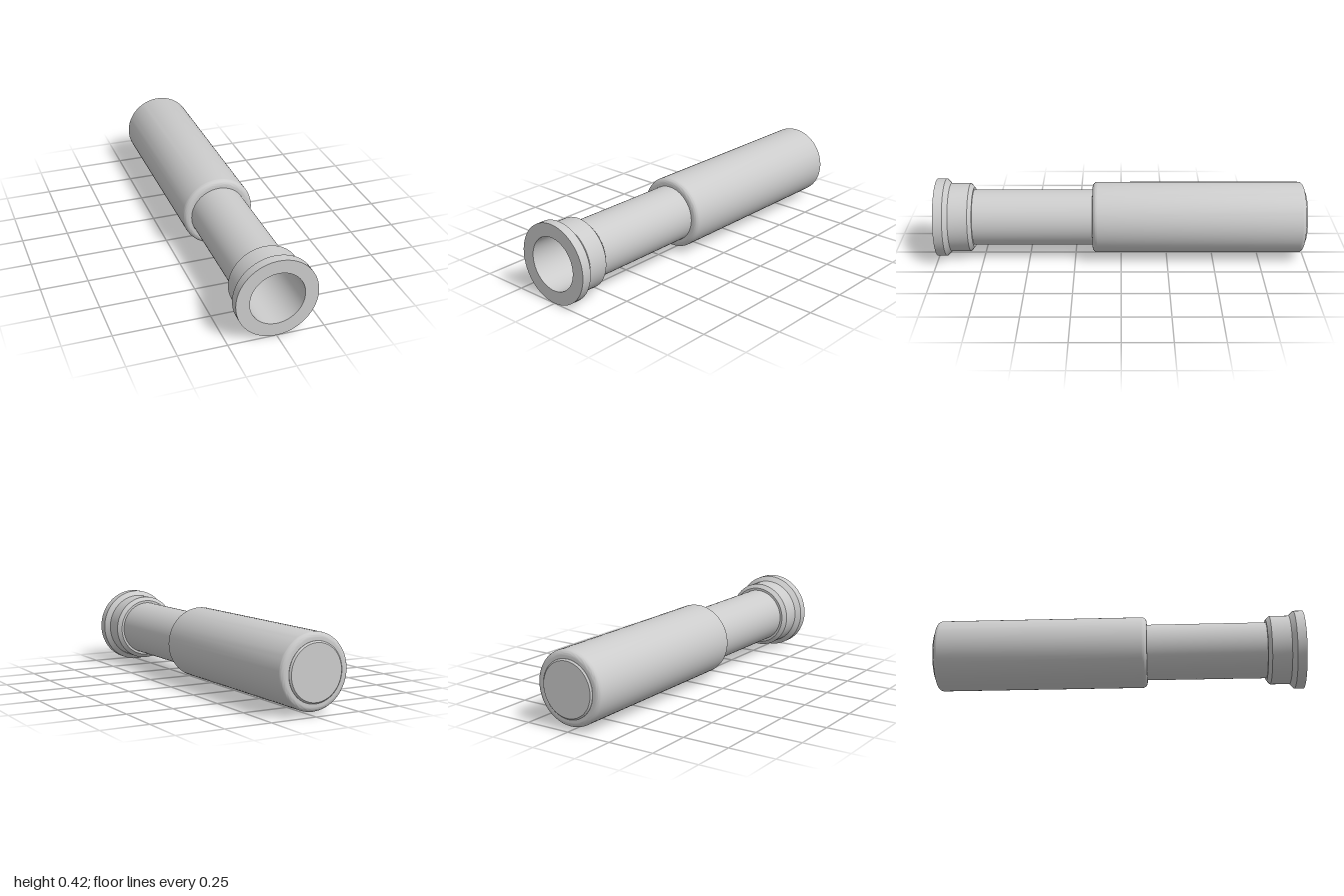
import * as THREE from 'three';
import { toCreasedNormals } from 'three/addons/utils/BufferGeometryUtils.js';

const AXIS_HEIGHT = 0.212;

// Revolves [radius, z] points about the z axis, keeping hard edges sharp
function turned(name, profile, material) {
  const points = profile.map(([r, z]) => new THREE.Vector2(r, z));
  const geometry = new THREE.LatheGeometry(points, 64).rotateX(Math.PI / 2);
  const mesh = new THREE.Mesh(toCreasedNormals(geometry, 0.5), material);
  mesh.name = name;
  return mesh;
}

// Quarter-round from angle a0, centred on (r, z)
function fillet(r, z, radius, a0, steps = 8) {
  return Array.from({ length: steps + 1 }, (_, i) => {
    const a = a0 + (i / steps) * Math.PI / 2;
    return [r + radius * Math.cos(a), z + radius * Math.sin(a)];
  });
}

export function createModel() {
  const model = new THREE.Group();
  const material = new THREE.MeshStandardMaterial({ color: 0xcccccc });

  // Hollow tube: closed chamfered back, stepped collar and flange, open bore
  const tube = turned('flangedTube', [
    [0, -1], [0.143, -1], [0.151, -0.992],
    [0.152, 0.8], [0.165, 0.8], [0.186, 0.82],
    [0.186, 0.925], [0.212, 0.95], [0.212, 1],
    [0.142, 1], [0.142, -0.97], [0, -0.97],
  ], material);

  // Thick sleeve with rounded ends over the back of the tube
  const round = 0.027;
  const sleeve = turned('sleeve', [
    [0.15, -0.99],
    ...fillet(0.193 - round, -0.99 + round, round, -Math.PI / 2),
    ...fillet(0.193 - round, 0.155 - round, round, 0),
    [0.15, 0.155],
  ], material);

  model.add(tube, sleeve);
  model.position.y = AXIS_HEIGHT;
  return model;
}
